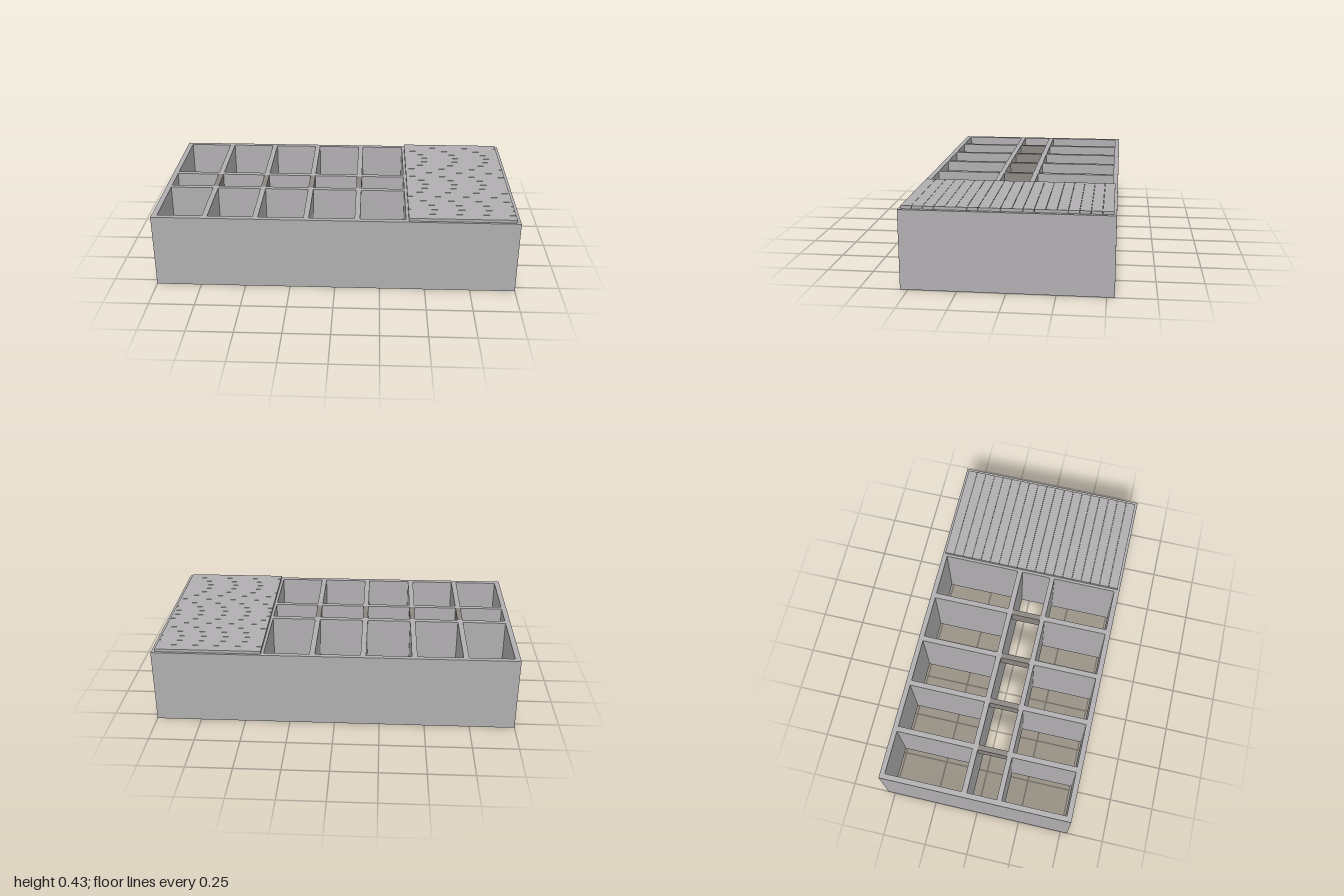
import * as THREE from 'three';

const HEIGHT = 0.418, WALL = 0.03;

export function createModel() {
  const model = new THREE.Group();
  model.name = 'cellBlock';
  const stone = new THREE.MeshStandardMaterial({ color: 0xb0aeb0 });
  stone.name = 'grey stone';
  const lintelMat = new THREE.MeshStandardMaterial({ color: 0x8b8681 });
  lintelMat.name = 'brown grey';

  // Plan outline and rooms; shape y is minus z
  const rect = (target, x0, x1, z0, z1) => {
    target.moveTo(x0, -z1);
    target.lineTo(x1, -z1);
    target.lineTo(x1, -z0);
    target.lineTo(x0, -z0);
    target.closePath();
    return target;
  };
  const plan = rect(new THREE.Shape(), -1, 1, -0.54, 0.54);
  const addRoom = (x0, x1, z0, z1) => plan.holes.push(rect(new THREE.Path(), x0, x1, z0, z1));

  // Wall centre lines
  const wallX = [-0.985, -0.71, -0.433, -0.156, 0.122, 0.4];
  const h = WALL / 2;
  for (let i = 0; i < 5; i++) {
    const x0 = wallX[i] + h, x1 = wallX[i + 1] - h;
    addRoom(x0, x1, -0.512, -0.077);
    addRoom(x0, x1, 0.148, 0.51);
  }
  // Corridor and the large end room
  addRoom(wallX[0] + h, wallX[5] - h, -0.047, 0.12);
  addRoom(wallX[5] + h, 0.97, -0.512, 0.51);

  const wallGeo = new THREE.ExtrudeGeometry(plan, { depth: HEIGHT, bevelEnabled: false });
  wallGeo.rotateX(-Math.PI / 2);
  const walls = new THREE.Mesh(wallGeo, stone);
  walls.name = 'walls';
  model.add(walls);

  // Lintels across the corridor
  const lintelGeo = new THREE.BoxGeometry(WALL, 0.085, 0.167);
  for (let i = 1; i < 5; i++) {
    const lintel = new THREE.Mesh(lintelGeo, lintelMat);
    lintel.name = 'corridorLintel';
    lintel.position.set(wallX[i], HEIGHT - 0.0425, 0.0365);
    model.add(lintel);
  }

  // Roof planks over the large room
  const roof = new THREE.Group();
  roof.name = 'roof';
  const count = 19, pitch = 1.054 / count;
  const plankGeo = new THREE.BoxGeometry(0.58, 0.016, pitch - 0.0015);
  for (let i = 0; i < count; i++) {
    const plank = new THREE.Mesh(plankGeo, stone);
    plank.name = 'roofPlank';
    plank.position.set(0.69, HEIGHT + 0.008, (i - (count - 1) / 2) * pitch);
    roof.add(plank);
  }
  model.add(roof);
  return model;
}
